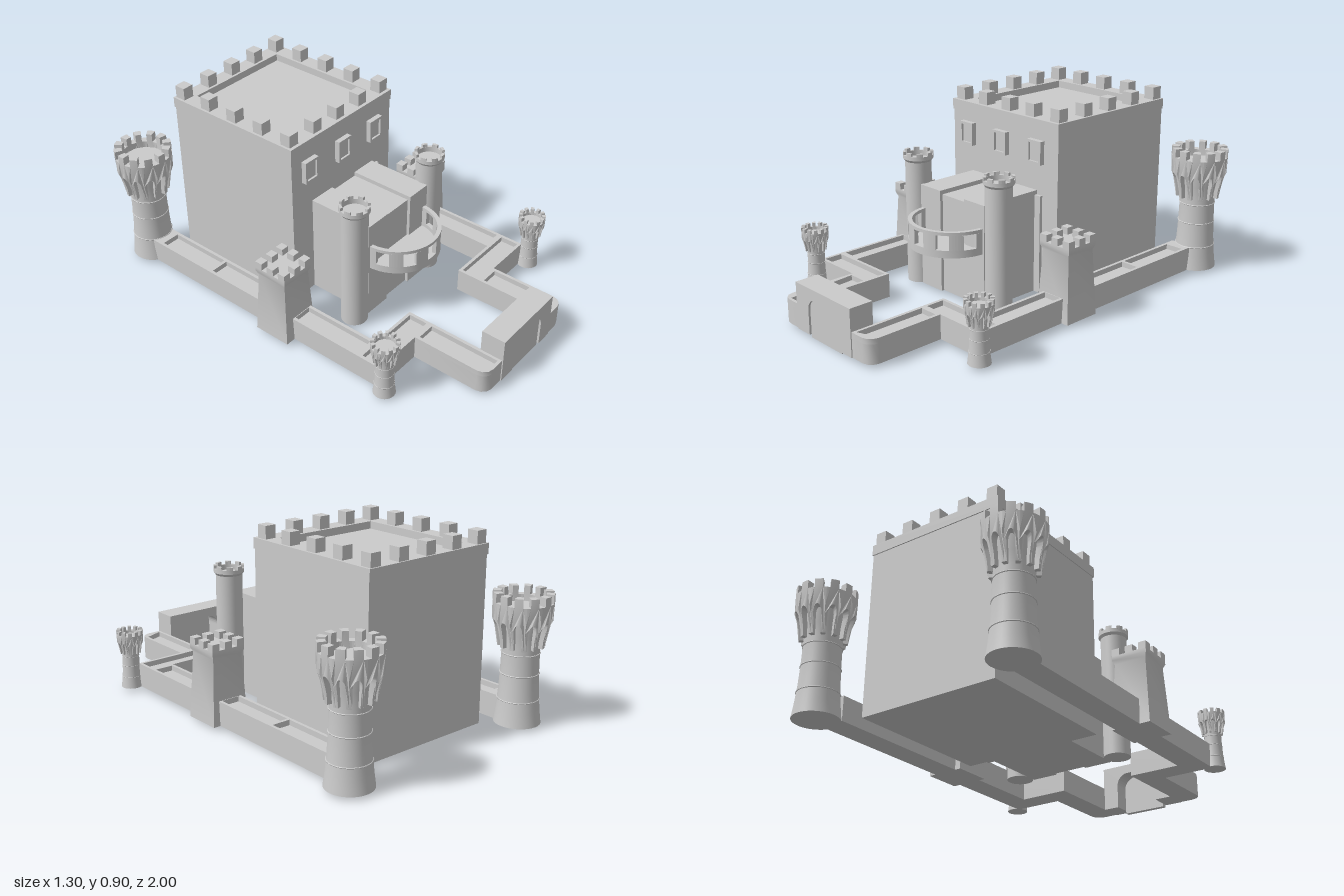
import * as THREE from 'three';
import { toCreasedNormals } from 'three/addons/utils/BufferGeometryUtils.js';

const material = new THREE.MeshStandardMaterial({ color: 0xcccccc, side: THREE.DoubleSide });

function add(parent, name, geometry, x = 0, y = 0, z = 0) {
  const mesh = new THREE.Mesh(toCreasedNormals(geometry, 0.6), material);
  mesh.name = name;
  mesh.position.set(x, y, z);
  parent.add(mesh);
  return mesh;
}

function group(parent, name, x = 0, y = 0, z = 0) {
  const g = new THREE.Group();
  g.name = name;
  g.position.set(x, y, z);
  parent.add(g);
  return g;
}

// Box given by its limits
function box(parent, name, x0, x1, y0, y1, z0, z1) {
  return add(parent, name, new THREE.BoxGeometry(x1 - x0, y1 - y0, z1 - z0),
    (x0 + x1) / 2, (y0 + y1) / 2, (z0 + z1) / 2);
}

const plan = (pts) => pts.map(([x, z]) => new THREE.Vector2(x, -z));
const rect = (x0, x1, z0, z1) => [[x0, z0], [x1, z0], [x1, z1], [x0, z1]];
const lathe = (pts, n = 32) => new THREE.LatheGeometry(pts.map(([r, y]) => new THREE.Vector2(r, y)), n);

// Upright extrusion of a plan shape between two heights
function upright(shape, y0, y1) {
  return new THREE.ExtrudeGeometry(shape, { depth: y1 - y0, bevelEnabled: false, curveSegments: 16 })
    .rotateX(-Math.PI / 2).translate(0, y0, 0);
}

// Solid block whose top has sunken panels
function sunkenBlock(parent, name, outline, panels, y0, yFloor, y1) {
  const g = group(parent, name);
  add(g, 'body', upright(new THREE.Shape(plan(outline)), y0, yFloor));
  const rim = new THREE.Shape(plan(outline));
  panels.forEach((p) => rim.holes.push(new THREE.Path(plan(p))));
  add(g, 'rim', upright(rim, yFloor, y1));
}

// Curved block between two radii; angle -PI/2 faces the front
function arcBlock(r0, r1, a0, a1, y0, y1) {
  const s = new THREE.Shape();
  s.absarc(0, 0, r1, a0, a1, false);
  s.absarc(0, 0, r0, a1, a0, true);
  return upright(s, y0, y1);
}

// Corner tower: flared shaft, arched corbels and battlements
function cornerTower(parent, name, x, z, scale) {
  const g = group(parent, name, x, 0.015, z);
  g.scale.setScalar(scale);
  add(g, 'shaft', lathe([[0, 0], [0.106, 0], [0.098, 0.06], [0.09, 0.15], [0.086, 0.24],
    [0.084, 0.36], [0.088, 0.42], [0.1, 0.49], [0.1, 0.535], [0, 0.535]], 36));
  [[0.0935, 0.115], [0.0865, 0.235], [0.085, 0.33]].forEach(([r, y]) =>
    add(g, 'stringCourse', new THREE.TorusGeometry(r, 0.003, 6, 36).rotateX(Math.PI / 2), 0, y, 0));

  // One flat bay drawn as (angle, height), then bent round the shaft
  const n = 12, A = Math.PI / n, w = 0.155, m = 0.14;
  const bay = new THREE.Shape();
  [[-A, 0.36], [-w, 0.36], [-w, 0.4], [-w, 0.445]].forEach(([a, y], i) => (i ? bay.lineTo(a, y) : bay.moveTo(a, y)));
  bay.absellipse(0, 0.445, w, 0.04, Math.PI, 0, true);
  [[w, 0.4], [w, 0.36], [A, 0.36], [A, 0.4], [A, 0.445], [A, 0.485], [A, 0.565], [m, 0.565], [m, 0.605],
    [0, 0.605], [-m, 0.605], [-m, 0.565], [-A, 0.565], [-A, 0.485], [-A, 0.445], [-A, 0.4], [-A, 0.36]]
    .forEach(([a, y]) => bay.lineTo(a, y));
  const geo = new THREE.ExtrudeGeometry(bay, { depth: 1, bevelEnabled: false, curveSegments: 8 });
  const p = geo.attributes.position;
  for (let i = 0; i < p.count; i++) {
    const a = p.getX(i), y = p.getY(i), t = THREE.MathUtils.clamp((y - 0.36) / 0.13, 0, 1);
    const r = THREE.MathUtils.lerp(0.08 + 0.018 * t, 0.105 + 0.03 * t * t, p.getZ(i));
    p.setXYZ(i, r * Math.sin(a), y, r * Math.cos(a));
  }
  geo.computeVertexNormals();
  for (let i = 0; i < n; i++) add(g, 'battlementBay', geo).rotation.y = i * 2 * A;
}

// Slim round tower beside the entrance
function roundTower(parent, x, z) {
  const g = group(parent, 'entranceTower', x, 0, z);
  add(g, 'shaft', lathe([[0, 0.015], [0.062, 0.015], [0.062, 0.61], [0.071, 0.622], [0.071, 0.64],
    [0.058, 0.64], [0.058, 0.615], [0, 0.615]]));
  for (let i = 0; i < 8; i++) {
    const a = (i * Math.PI) / 4;
    add(g, 'merlon', arcBlock(0.058, 0.071, a, a + 0.42, 0.64, 0.655));
  }
}

// Tapered square wall tower with a flared, crenellated top
function squareTower(parent, x, z) {
  const g = group(parent, 'squareTower', x, 0, z);
  const q = Math.SQRT2;
  add(g, 'body', lathe([[0, 0.015], [0.093 * q, 0.015], [0.077 * q, 0.325], [0.086 * q, 0.345],
    [0.086 * q, 0.365], [0, 0.365]], 4).rotateY(Math.PI / 4));
  for (let i = -1; i <= 1; i++) for (let k = -1; k <= 1; k++) {
    if (i || k) add(g, 'merlon', new THREE.BoxGeometry(0.038, 0.033, 0.038), i * 0.067, 0.381, k * 0.067);
  }
}

// Gate outline with a rounded opening
function archPath(shape, x0, x1, y0, y1, r) {
  shape.lineTo(x0, y0);
  shape.absarc(x0 + r, y1 - r, r, Math.PI, Math.PI / 2, true);
  shape.absarc(x1 - r, y1 - r, r, Math.PI / 2, 0, true);
  shape.lineTo(x1, y0);
}

export function createModel() {
  const castle = new THREE.Group();
  castle.name = 'castle';

  // Keep with sunken roof, merlons and framed windows
  const keep = group(castle, 'keep');
  box(keep, 'walls', -0.36, 0.335, 0.015, 0.81, -0.775, -0.05);
  sunkenBlock(keep, 'parapet', rect(-0.364, 0.338, -0.78, -0.045), [rect(-0.285, 0.26, -0.705, -0.13)], 0.795, 0.805, 0.845);
  for (let i = 0; i < 5; i++) for (let k = 0; k < 5; k++) {
    if (i % 4 && k % 4) continue;
    add(keep, 'merlon', new THREE.BoxGeometry(0.055, 0.06, 0.055), -0.325 + i * 0.156, 0.875, -0.745 + k * 0.164);
  }
  for (const x of [-0.25, -0.022, 0.205]) {
    const frame = new THREE.Shape(plan(rect(-0.043, 0.043, -0.055, 0.055)));
    frame.holes.push(new THREE.Path(plan(rect(-0.031, 0.031, -0.043, 0.043))));
    add(keep, 'windowFrame', new THREE.ExtrudeGeometry(frame, { depth: 0.03, bevelEnabled: false }), x, 0.695, -0.055);
    box(keep, 'windowPane', x - 0.031, x + 0.031, 0.652, 0.738, -0.055, -0.035);
  }

  // Entrance block with a lower, recessed middle bay
  const entrance = group(castle, 'entranceBlock');
  box(entrance, 'leftBay', 0.075, 0.205, 0.015, 0.51, -0.05, 0.28);
  box(entrance, 'rightBay', -0.228, -0.09, 0.015, 0.51, -0.05, 0.28);
  box(entrance, 'middleBay', -0.09, 0.075, 0.015, 0.49, -0.05, 0.265);
  box(entrance, 'doorLintel', -0.09, 0.075, 0.235, 0.265, 0.26, 0.275);
  box(entrance, 'backStep', -0.228, 0.24, 0.015, 0.49, -0.05, -0.035);
  roundTower(castle, -0.285, 0.245);
  roundTower(castle, 0.263, 0.245);

  // Half-round balcony with open windows
  const balcony = group(castle, 'balcony', -0.012, 0, 0.27);
  const deg = Math.PI / 180;
  add(balcony, 'floor', arcBlock(0.001, 0.2, -Math.PI, 0, 0.28, 0.295));
  add(balcony, 'lowerBand', arcBlock(0.187, 0.207, -Math.PI, 0, 0.28, 0.315));
  add(balcony, 'upperBand', arcBlock(0.187, 0.207, -Math.PI, 0, 0.385, 0.4));
  for (const [a, b] of [[8.5, 26.5], [43.5, 61.5], [78.5, 90]]) {
    add(balcony, 'post', arcBlock(0.187, 0.207, (a - 90) * deg, (b - 90) * deg, 0.315, 0.385));
    add(balcony, 'post', arcBlock(0.187, 0.207, (-b - 90) * deg, (-a - 90) * deg, 0.315, 0.385));
  }

  // Curtain walls with sunken walkways
  const walls = group(castle, 'curtainWalls');
  const wall = (name, outline, panels) => sunkenBlock(walls, name, outline, panels, 0.015, 0.105, 0.13);
  for (const x of [-0.575, 0.425]) {
    wall('sideWall', rect(x, x + 0.12, -0.8, 0.5),
      [[-0.735, -0.41], [-0.395, -0.05], [0.13, 0.487]].map(([a, b]) => rect(x + 0.015, x + 0.105, a, b)));
  }
  wall('rightFrontWall', rect(-0.575, -0.205, 0.5, 0.62), [rect(-0.56, -0.22, 0.515, 0.605)]);
  wall('leftFrontWall', rect(0.18, 0.545, 0.5, 0.62), [rect(0.195, 0.53, 0.515, 0.605)]);
  wall('rightGateWall', [[-0.325, 0.62], [-0.205, 0.62], [-0.205, 0.995], [-0.275, 0.995], [-0.3, 0.988], [-0.318, 0.97], [-0.325, 0.945]],
    [[[-0.31, 0.635], [-0.22, 0.635], [-0.22, 0.98], [-0.28, 0.98]]]);
  wall('leftGateWall', [[0.18, 0.62], [0.3, 0.62], [0.3, 0.945], [0.293, 0.97], [0.275, 0.988], [0.25, 0.995], [0.18, 0.995]],
    [[[0.195, 0.635], [0.285, 0.635], [0.285, 0.945], [0.195, 0.98]]]);

  // Gatehouse with an arched door set just behind its front
  const gate = new THREE.Shape();
  gate.moveTo(-0.207, 0.015);
  archPath(gate, -0.12, 0.1, 0.015, 0.19, 0.06);
  [[0.182, 0.015], [0.182, 0.235], [-0.207, 0.235]].forEach(([x, y]) => gate.lineTo(x, y));
  add(castle, 'gatehouse', new THREE.ExtrudeGeometry(gate, { depth: 0.115, bevelEnabled: false }), 0, 0, 0.885);
  const door = new THREE.Shape();
  door.moveTo(-0.12, 0);
  archPath(door, -0.12, 0.1, 0, 0.19, 0.06);
  add(castle, 'gateDoor', new THREE.ExtrudeGeometry(door, { depth: 0.025, bevelEnabled: false }), 0, 0, 0.965);

  // Wall towers
  squareTower(castle, -0.532, 0.04);
  squareTower(castle, 0.487, 0.04);
  cornerTower(castle, 'backCornerTower', -0.514, -0.865, 1);
  cornerTower(castle, 'backCornerTower', 0.511, -0.865, 1);
  cornerTower(castle, 'frontCornerTower', -0.575, 0.647, 0.475);
  cornerTower(castle, 'frontCornerTower', 0.572, 0.647, 0.475);

  return castle;
}
